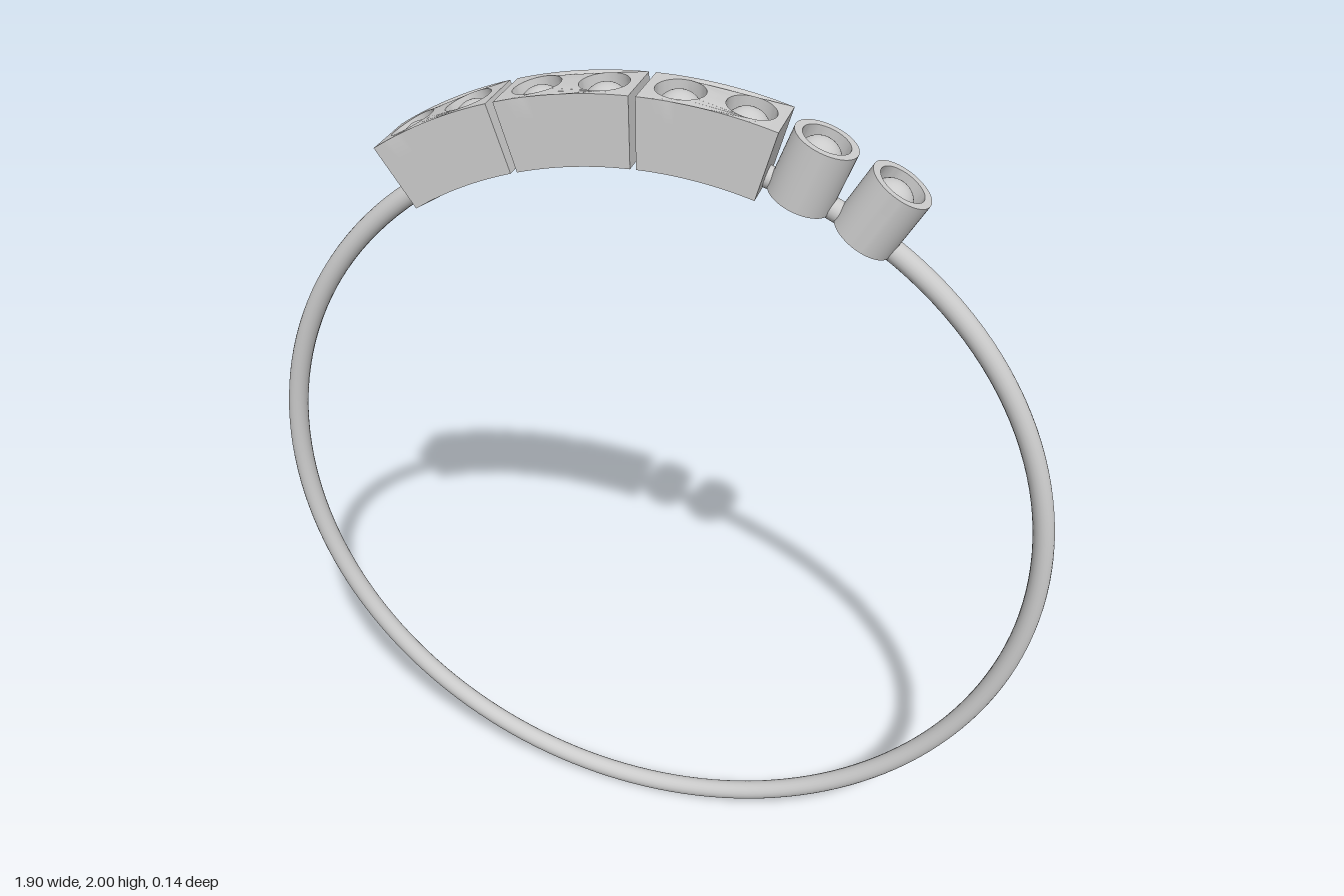
import * as THREE from 'three';
import { toCreasedNormals } from 'three/addons/utils/BufferGeometryUtils.js';

const CENTER_Y = 0.948;
const OUTER = 1.052, FLOOR = 1.0, INNER = 0.898; // radii of the setting blocks
const HALF_WIDTH = 0.07, HALF_ANGLE = 8.02, STONE_ANGLE = 4.05;
const HOLE = 0.053, STONE = 0.05;
const rad = THREE.MathUtils.degToRad;

export function createModel() {
  const group = new THREE.Group();
  const material = new THREE.MeshStandardMaterial({ color: 0xcccccc });

  const add = (geometry, name, parent) => {
    const mesh = new THREE.Mesh(geometry, material);
    mesh.name = name;
    parent.add(mesh);
    return mesh;
  };

  // Slab between two radii, drawn flat and then bent around the band
  const bentSlab = (r0, r1, holes) => {
    const half = rad(HALF_ANGLE) * OUTER, steps = 14;
    const outline = [];
    for (let i = 0; i <= steps; i++) outline.push(new THREE.Vector2(-half + (2 * half * i) / steps, -HALF_WIDTH));
    for (let i = steps; i >= 0; i--) outline.push(new THREE.Vector2(-half + (2 * half * i) / steps, HALF_WIDTH));
    const shape = new THREE.Shape(outline);
    for (const angle of holes) {
      shape.holes.push(new THREE.Path().absarc(rad(angle) * OUTER, 0, HOLE, 0, Math.PI * 2, true));
    }
    const geometry = new THREE.ExtrudeGeometry(shape, { depth: r1 - r0, bevelEnabled: false, curveSegments: 20 });
    const p = geometry.attributes.position;
    for (let i = 0; i < p.count; i++) {
      const a = p.getX(i) / OUTER, r = r0 + p.getZ(i);
      p.setXYZ(i, r * Math.sin(a), r * Math.cos(a), -p.getY(i));
    }
    return toCreasedNormals(geometry, rad(35));
  };

  // Domed stone seated in its recess
  const stoneGeometry = new THREE.SphereGeometry(STONE, 32, 12, 0, Math.PI * 2, 0, Math.PI / 2);
  const addStone = (parent, angle) => {
    const stone = add(stoneGeometry, 'stone', parent);
    const a = rad(angle);
    stone.position.set(FLOOR * Math.sin(a), FLOOR * Math.cos(a), 0);
    stone.rotation.z = -a;
  };

  // Holder placed on the band, turned clockwise from the top
  const addHolder = (name, angle) => {
    const holder = new THREE.Group();
    holder.name = name;
    holder.position.y = CENTER_Y;
    holder.rotation.z = -rad(angle);
    group.add(holder);
    return holder;
  };

  // Thin round band
  const band = add(new THREE.TorusGeometry(0.924, 0.024, 20, 160), 'band', group);
  band.position.y = CENTER_Y;

  // Three curved blocks, each with two stones
  const baseGeometry = bentSlab(INNER, FLOOR, []);
  const rimGeometry = bentSlab(FLOOR, OUTER, [-STONE_ANGLE, STONE_ANGLE]);
  for (const angle of [-26.1, -9.1, 7.75]) {
    const block = addHolder('doubleSetting', angle);
    add(baseGeometry, 'settingBase', block);
    add(rimGeometry, 'settingRim', block);
    for (const side of [-1, 1]) addStone(block, side * STONE_ANGLE);
  }

  // Two round cups, each with one stone
  const profile = [[0, 0.909], [0.07, 0.909], [0.07, 1.049], [HOLE, 1.049], [HOLE, FLOOR], [0, FLOOR]];
  const cupGeometry = toCreasedNormals(
    new THREE.LatheGeometry(profile.map(([x, y]) => new THREE.Vector2(x, y)), 48), rad(35));
  for (const angle of [20.6, 30.1]) {
    const cup = addHolder('singleSetting', angle);
    add(cupGeometry, 'settingCup', cup);
    addStone(cup, 0);
  }

  return group;
}
